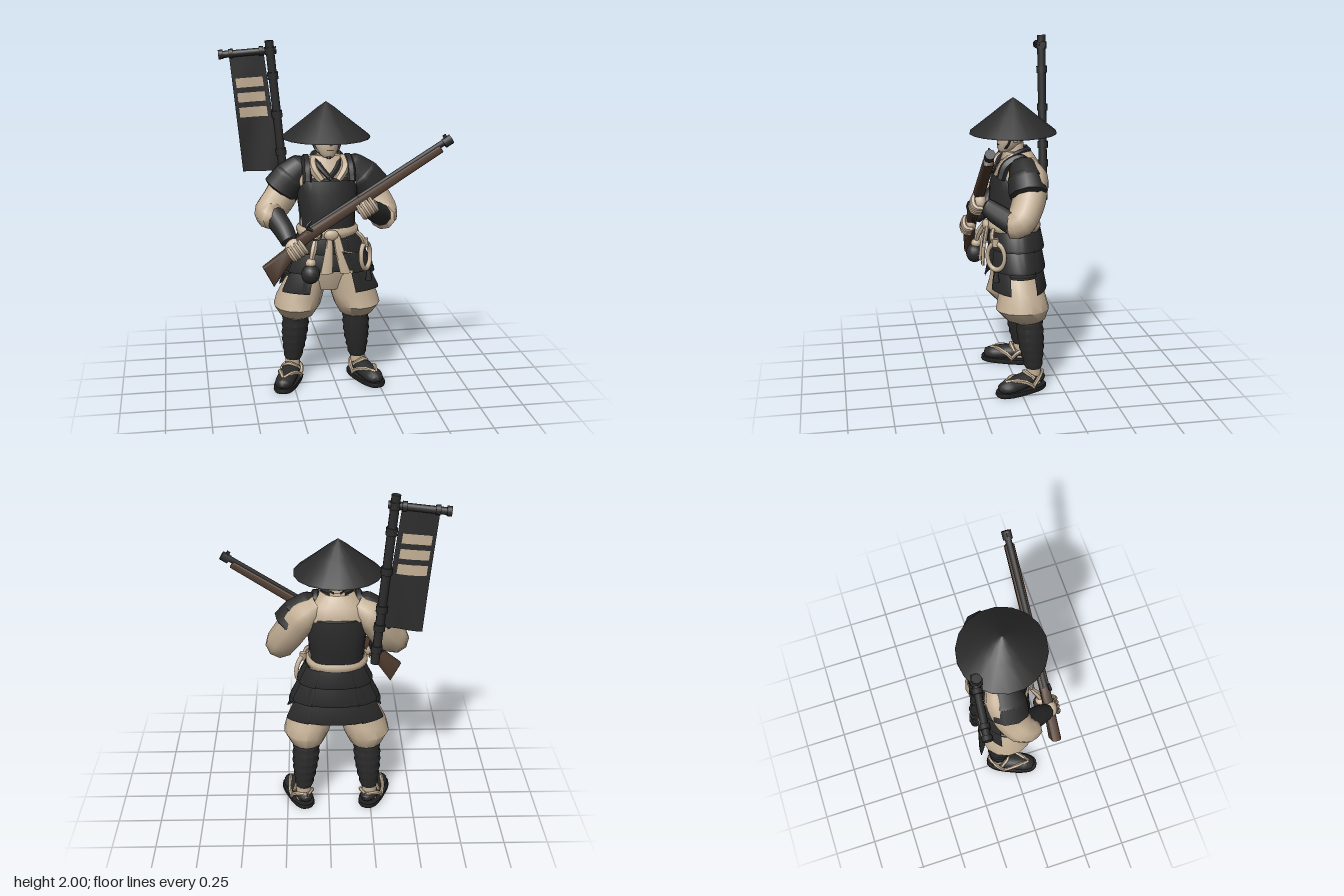
import * as THREE from 'three';
import { toCreasedNormals } from 'three/addons/utils/BufferGeometryUtils.js';

const mat = (name, color) => new THREE.MeshStandardMaterial({ name, color, side: THREE.DoubleSide });
const V = (a) => new THREE.Vector3(a[0], a[1], a[2]);
const CX = -0.045; // body centre line

// Skin over horizontal rings [x, y, z, rx, rz]; an arc below a full turn gives an open plate
function loft(rings, n = 16, pow = 1, a0 = 0, a1 = Math.PI * 2) {
  const pos = [], idx = [], full = a1 - a0 > 6.28;
  const bend = (v) => Math.sign(v) * Math.abs(v) ** pow;
  for (const [x, y, z, rx, rz] of rings)
    for (let i = 0; i <= n; i++) {
      const a = a0 + (a1 - a0) * i / n;
      pos.push(x + rx * bend(Math.sin(a)), y, z + rz * bend(Math.cos(a)));
    }
  const w = n + 1;
  for (let j = 0; j < rings.length - 1; j++)
    for (let i = 0; i < n; i++) {
      const a = j * w + i;
      idx.push(a, a + 1, a + w, a + 1, a + w + 1, a + w);
    }
  if (full) for (const j of [0, rings.length - 1]) {
    const c = pos.length / 3;
    pos.push(...rings[j].slice(0, 3));
    for (let i = 0; i < n; i++) idx.push(c, j * w + i + (j ? 0 : 1), j * w + i + (j ? 1 : 0));
  }
  const g = new THREE.BufferGeometry();
  g.setAttribute('position', new THREE.Float32BufferAttribute(pos, 3));
  g.setIndex(idx);
  return toCreasedNormals(g, 0.7);
}

// Tube of varying radius through points [x, y, z, r]
function sweep(pts, segs = 16, n = 10, flatY = 1) {
  const curve = new THREE.CatmullRomCurve3(pts.map(V));
  const g = new THREE.TubeGeometry(curve, segs, 1, n), p = g.attributes.position, v = new THREE.Vector3();
  for (let j = 0; j <= segs; j++) {
    const c = curve.getPointAt(j / segs);
    const t = curve.getUtoTmapping(j / segs) * (pts.length - 1), k = Math.min(Math.floor(t), pts.length - 2);
    const r = THREE.MathUtils.lerp(pts[k][3], pts[k + 1][3], t - k);
    for (let i = 0; i <= n; i++) {
      const q = j * (n + 1) + i;
      v.fromBufferAttribute(p, q).sub(c).multiplyScalar(r);
      v.y *= flatY;
      v.add(c);
      p.setXYZ(q, v.x, v.y, v.z);
    }
  }
  return toCreasedNormals(g, 0.9);
}

function extrude(pts, depth, bevel) {
  const g = new THREE.ExtrudeGeometry(new THREE.Shape(pts.map((p) => new THREE.Vector2(...p))),
    { depth, bevelEnabled: true, bevelSize: bevel, bevelThickness: bevel * 1.5, bevelOffset: -bevel * 0.6, bevelSegments: 2 });
  return toCreasedNormals(g.translate(0, 0, -depth / 2), 0.8);
}

export function createModel() {
  const root = new THREE.Group();
  const black = mat('blackLacquer', 0x2b2b2b), tan = mat('tanCloth', 0xc2ae94);
  const skin = mat('skin', 0xc9b59d), wood = mat('wood', 0x4c382b), sole = mat('soleBlack', 0x222222);
  const add = (name, geo, m, parent = root) => {
    const mesh = new THREE.Mesh(geo, m);
    mesh.name = name;
    parent.add(mesh);
    return mesh;
  };
  const group = (name) => { const g = new THREE.Group(); g.name = name; root.add(g); return g; };
  const ball = (name, p, s, m, parent) => {
    const b = add(name, new THREE.SphereGeometry(1, 14, 10), m, parent);
    b.position.set(...p); b.scale.set(...s);
    return b;
  };

  // Conical hat
  const hat = [[0.248, 1.478], [0.247, 1.488], [0.12, 1.588], [0.05, 1.645], [0, 1.68]].map((p) => new THREE.Vector2(...p));
  add('hat', new THREE.LatheGeometry(hat, 18), black).position.x = -0.05;
  add('hatUnderside', new THREE.ConeGeometry(0.242, 0.15, 18, 1, true), black).position.set(-0.05, 1.553, 0);

  // Head
  add('head', loft([[-0.046, 1.375, 0.05, 0.03, 0.03], [-0.048, 1.395, 0.035, 0.052, 0.056], [-0.05, 1.44, 0.015, 0.07, 0.078],
    [-0.05, 1.5, 0.005, 0.075, 0.088], [-0.05, 1.57, 0, 0.06, 0.07]], 16), skin);
  add('nose', sweep([[-0.042, 1.5, 0.085, 0.008], [-0.036, 1.462, 0.102, 0.015], [-0.038, 1.445, 0.09, 0.004]], 6, 6), skin);
  add('mouth', new THREE.BoxGeometry(0.035, 0.005, 0.008), wood).position.set(-0.04, 1.418, 0.088);
  add('hair', loft([[-0.05, 1.44, -0.03, 0.06, 0.045], [-0.05, 1.5, -0.02, 0.078, 0.075], [-0.05, 1.59, -0.01, 0.06, 0.065]], 14), wood);
  for (const s of [-1, 1]) {
    ball('ear', [-0.05 + s * 0.077, 1.46, 0], [0.01, 0.028, 0.018], skin);
    add('chinStrap', sweep([[-0.05 + s * 0.08, 1.5, 0.02, 0.006], [-0.05 + s * 0.066, 1.42, 0.04, 0.007], [-0.046, 1.376, 0.078, 0.01]], 10, 6), black);
  }
  add('neck', new THREE.CylinderGeometry(0.05, 0.06, 0.13, 12), skin).position.set(-0.05, 1.36, -0.01);

  // Robe, breastplate and collar
  add('robe', loft([[CX, 0.9, 0, 0.16, 0.13], [CX, 1.1, -0.01, 0.16, 0.13], [CX, 1.25, -0.03, 0.19, 0.13],
    [CX, 1.32, -0.035, 0.165, 0.105], [CX, 1.38, -0.025, 0.085, 0.075]], 20, 0.85), tan);
  add('breastplate', loft([[CX, 0.96, 0, 0.156, 0.14], [CX, 1.06, -0.01, 0.16, 0.15], [CX, 1.18, -0.02, 0.175, 0.153],
    [CX, 1.25, -0.025, 0.166, 0.142], [CX, 1.262, -0.025, 0.155, 0.125]], 22, 0.8), black);
  for (const s of [-1, 1]) {
    add('shoulderStrap', sweep([[CX + s * 0.125, 1.24, 0.095, 0.026], [CX + s * 0.122, 1.32, 0.06, 0.028],
      [CX + s * 0.12, 1.355, -0.02, 0.028], [CX + s * 0.125, 1.325, -0.07, 0.02]], 16, 6), black);
    add('collar', sweep([[CX + s * 0.03, 1.385, -0.085, 0.018], [CX + s * 0.074, 1.375, -0.02, 0.02],
      [CX + s * 0.052, 1.325, 0.068, 0.017], [CX - s * 0.01, 1.255, 0.112, 0.013]], 14, 6), black);
    add('innerCollar', sweep([[CX + s * 0.082, 1.365, 0.01, 0.025], [CX + s * 0.088, 1.315, 0.075, 0.026], [CX + s * 0.045, 1.25, 0.102, 0.022]], 10, 6), tan);
  }

  // Arms: sleeve, shoulder plates, bracer and hand
  const hands = { '-1': [-0.255, 0.905, 0.225], 1: [0.135, 1.13, 0.225] };
  for (const s of [-1, 1]) {
    const arm = group(s > 0 ? 'leftArm' : 'rightArm'), h = hands[s], x = (d) => CX + s * d;
    const lift = s > 0 ? -0.01 : 0.015, spread = s > 0 ? 0 : 0.012;
    add('sleeve', sweep([[x(0.1), 1.315, -0.06, 0.06], [x(0.19), 1.25, -0.065, 0.097], [x(0.27), 1.13, -0.035, 0.094],
      [x(0.32 + spread), 1.045 + lift, 0.025, 0.088], [x(0.3 + spread), 1.03 + lift, 0.08, 0.072], [x(0.295), 1.035 + lift, 0.09, 0.03]], 18, 9), tan, arm);
    const fore = [x(0.31), 1.035 + lift, 0.05];
    add('bracer', sweep([[...fore, 0.064], [(fore[0] + h[0]) / 2, (fore[1] + h[1]) / 2, 0.14, 0.058],
      [h[0] + s * 0.03, h[1] - s * 0.02 + 0.005, 0.195, 0.046], [h[0] + s * 0.025, h[1] - s * 0.015, 0.205, 0.01]], 12, 10), black, arm);
    // overlapping shoulder plates
    for (const k of [0, 1]) add('shoulderPlate', sweep([[x(0.1 + k * 0.07), 1.35 - k * 0.06, -0.03, 0.02], [x(0.13 + k * 0.07), 1.32 - k * 0.06, -0.03, 0.075 + k * 0.025],
      [x(0.21 + k * 0.052), 1.245 - k * 0.065, -0.035, 0.105 + k * 0.004], [x(0.215 + k * 0.055), 1.235 - k * 0.066, -0.035, 0.08]], 12, 9), black, arm);
    ball('palm', h, [0.06, 0.055, 0.04], skin, arm);
    for (let i = 0; i < 4; i++) {
      const o = (i - 1.5) * 0.025, c = Math.cos(0.57), d = Math.sin(0.57);
      const at = (along, up, z, r) => [h[0] + along * c - up * d, h[1] + along * d + up * c, z, r];
      add('finger', sweep([at(o, -0.052, 0.215, 0.014), at(o, -0.042, 0.255, 0.0165), at(o, 0.0, 0.266, 0.0165), at(o, 0.037, 0.252, 0.01)], 8, 6), skin, arm);
    }
    add('thumb', sweep([[h[0], h[1] + 0.02, 0.21, 0.018], [h[0] - s * 0.03, h[1] + 0.052, 0.225, 0.014], [h[0] - s * 0.05, h[1] + 0.06, 0.235, 0.006]], 8, 6), skin, arm);
  }

  // Sash with knot and hanging tails
  add('sash', loft([[CX, 0.92, 0, 0.165, 0.14], [CX, 0.94, 0, 0.178, 0.154], [CX, 0.96, 0, 0.178, 0.154], [CX, 0.98, 0, 0.162, 0.143]], 22, 0.9), tan);
  ball('sashKnot', [CX, 0.95, 0.16], [0.042, 0.032, 0.022], tan);
  for (const [bx, by, w] of [[-0.078, 0.735, 0.034], [0.03, 0.735, 0.03], [0.07, 0.85, 0.02]])
    add('sashTail', loft([[bx, by, 0.192, w, 0.008], [(bx + CX) / 2, 0.86, 0.178, w * 0.7, 0.012], [CX + (bx - CX) * 0.3, 0.95, 0.158, 0.014, 0.012]], 8), tan);

  // Tiered skirt plates: [centre angle, half width, bottom height, outward shift], in degrees
  const skirt = group('armourSkirt'), tiers = [0.935, 0.83, 0.715, 0.6], deg = Math.PI / 180;
  const skirtPanels = [[0, 26, 0.73, 0], [45, 20, 0.6, 0.008], [-45, 20, 0.6, 0.008], [90, 28, 0.69, 0], [-90, 28, 0.69, 0],
    [132, 18, 0.6, 0.008], [-132, 18, 0.6, 0.008], [164, 17, 0.6, 0], [-164, 17, 0.6, 0]];
  for (const [mid, half, low, out] of skirtPanels) {
    const rings = [];
    const ring = (y, e) => {
      const t = (0.935 - y) / 0.335;
      rings.unshift([CX + 0.01, y, -0.01, 0.17 + t * 0.12 + e + out, 0.143 + t * 0.012 + e + out]);
    };
    for (let i = 0; i < 3; i++) {
      const bottom = Math.max(tiers[i + 1], low);
      if (tiers[i] - bottom < 0.015) break;
      ring(tiers[i], 0); ring(bottom + 0.015, 0.015); ring(bottom, 0.011);
    }
    add('skirtPlate', loft(rings, 8, 1, (mid - half) * deg, (mid + half) * deg), black, skirt);
  }
  add('hips', loft([[CX, 0.6, -0.015, 0.13, 0.09], [CX, 0.7, -0.01, 0.18, 0.12], [CX, 0.93, 0, 0.155, 0.13]], 18), tan);

  // Legs: baggy trousers, wrapped shins and sandals
  for (const s of [-1, 1]) {
    const leg = group(s > 0 ? 'leftLeg' : 'rightLeg'), x = (d) => CX + s * d;
    add('trouser', loft([[x(0.175), 0.408, -0.05, 0.068, 0.075], [x(0.175), 0.43, -0.04, 0.098, 0.115], [x(0.177), 0.495, -0.02, 0.135, 0.155],
      [x(0.16), 0.555, -0.02, 0.136, 0.14], [x(0.13), 0.64, -0.012, 0.122, 0.122], [x(0.09), 0.76, -0.01, 0.085, 0.105]], 14, 1), tan, leg);
    const wraps = [];
    for (let i = 0; i <= 12; i++) {
      const t = i / 12, r = 0.048 + 0.03 * Math.sin(Math.min(t * 1.3, 1) * 1.57) + (i % 2 ? 0.004 : -0.002);
      wraps.push([x(0.195 - t * 0.018), 0.13 + t * 0.3, -0.083 + t * 0.025, r, r]);
    }
    add('shinWrap', loft(wraps, 12), black, leg);
    add('ankle', new THREE.CylinderGeometry(0.041, 0.048, 0.11, 12), tan, leg).position.set(x(0.198), 0.095, -0.083);

    const foot = new THREE.Group();
    foot.name = 'foot';
    foot.position.set(s > 0 ? 0.187 : -0.277, 0, -0.003);
    foot.rotation.y = s * 0.4;
    leg.add(foot);
    add('sandalSole', loft([[0, 0, 0, 0.064, 0.157], [0, 0.012, 0, 0.07, 0.164], [0, 0.03, 0, 0.068, 0.161]], 22, 0.75), sole, foot);
    add('sock', sweep([[0, 0.045, -0.148, 0.012], [0, 0.06, -0.13, 0.044], [0, 0.068, -0.06, 0.054], [0, 0.056, 0.02, 0.057],
      [0, 0.046, 0.09, 0.056], [0, 0.04, 0.136, 0.036], [0, 0.036, 0.148, 0.004]], 20, 12, 0.8), black, foot);
    for (const k of [-1, 1]) {
      add('sandalStrap', sweep([[0, 0.078, 0.105, 0.011], [k * 0.036, 0.088, 0.045, 0.012], [k * 0.06, 0.062, -0.02, 0.012], [k * 0.062, 0.035, -0.05, 0.011]], 12, 6), tan, foot);
      add('ankleStrap', sweep([[k * 0.062, 0.035, -0.04, 0.011], [k * 0.056, 0.08, -0.085, 0.012], [0, 0.095, -0.15, 0.011]], 10, 6), tan, foot);
    }
    add('instepStrap', sweep([[-0.052, 0.08, -0.06, 0.011], [0, 0.117, -0.025, 0.013], [0.052, 0.08, -0.06, 0.011]], 10, 6), tan, foot);
  }

  // Rope coil on the left hip, flask on the right
  const coil = group('ropeCoil');
  coil.position.set(0.155, 0.815, 0.135);
  coil.rotation.set(-0.08, 0.9, 0.1);
  add('ropeRing', new THREE.TorusGeometry(0.052, 0.011, 8, 20), tan, coil).scale.set(1.05, 1.45, 1.3);
  add('ropeTie', new THREE.CylinderGeometry(0.02, 0.02, 0.045, 8), tan, coil).position.set(0, 0.08, 0);
  add('ropeTassel', new THREE.CylinderGeometry(0.012, 0.02, 0.06, 8), black, coil).position.set(0.005, -0.115, 0.01);
  add('ropeHanger', sweep([[0.1, 0.96, 0.14, 0.012], [0.13, 0.93, 0.155, 0.014], [0.145, 0.88, 0.145, 0.012]], 8, 6), tan);
  ball('flask', [-0.17, 0.745, 0.21], [0.053, 0.056, 0.05], black);
  ball('flaskNeck', [-0.168, 0.805, 0.2], [0.03, 0.028, 0.03], tan);
  add('flaskCord', sweep([[-0.165, 0.82, 0.2, 0.014], [-0.15, 0.88, 0.185, 0.02], [-0.13, 0.95, 0.15, 0.012]], 8, 6), tan);

  // Matchlock rifle, modelled along x and then tilted
  const rifle = group('rifle');
  rifle.position.set(-0.07, 1.05, 0.222);
  rifle.rotation.set(0, -0.025, 0.563);
  add('stock', extrude([[-0.44, -0.018], [-0.45, -0.138], [-0.3, -0.075], [-0.18, -0.035], [-0.08, -0.03], [0.73, -0.018],
    [0.73, 0.018], [-0.1, 0.025], [-0.2, 0.015], [-0.3, -0.005]], 0.026, 0.01), wood, rifle);
  const along = (name, r, len, px, py, m) => {
    const c = add(name, new THREE.CylinderGeometry(r, r, len, 8).rotateZ(Math.PI / 2), m, rifle);
    c.position.set(px, py, 0);
  };
  along('barrel', 0.0185, 0.91, 0.35, 0.018, black);
  along('muzzle', 0.028, 0.05, 0.785, 0.012, black);
  add('frontSight', new THREE.BoxGeometry(0.02, 0.02, 0.01), black, rifle).position.set(0.785, 0.043, 0);
  add('lockPlate', new THREE.BoxGeometry(0.13, 0.036, 0.056), black, rifle).position.set(-0.07, 0.0, 0);
  add('hammer', sweep([[-0.1, 0.01, 0.024, 0.008], [-0.12, 0.045, 0.024, 0.01], [-0.08, 0.06, 0.02, 0.007]], 8, 6), black, rifle);
  const guard = add('triggerGuard', new THREE.TorusGeometry(0.028, 0.006, 6, 12, Math.PI), black, rifle);
  guard.rotation.z = Math.PI;
  guard.position.set(-0.1, -0.03, 0);

  // Banner: jointed pole, crossbar and cloth
  const banner = group('banner');
  const rod = (name, a, b, r) => {
    const A = V(a), B = V(b), m = add(name, new THREE.CylinderGeometry(r, r, A.distanceTo(B), 10), black, banner);
    m.position.copy(A).add(B).multiplyScalar(0.5);
    m.quaternion.setFromUnitVectors(new THREE.Vector3(0, 1, 0), B.sub(A).normalize());
  };
  const poleAt = (y) => [-0.25 - (y - 1.03) * 0.094, y, -0.222];
  rod('pole', poleAt(1.03), poleAt(1.998), 0.025);
  for (const y of [1.12, 1.25, 1.36, 1.58, 1.8, 1.94]) rod('poleJoint', poleAt(y - 0.02), poleAt(y + 0.02), 0.032);
  rod('crossbar', [-0.62, 1.918, -0.258], [-0.3, 1.945, -0.222], 0.02);
  for (const [x, y, z] of [[-0.612, 1.919, -0.257], [-0.555, 1.924, -0.251], [-0.385, 1.938, -0.232]])
    rod('crossbarKnob', [x - 0.013, y, z - 0.001], [x + 0.013, y + 0.002, z + 0.001], 0.027);
  const lerp = THREE.MathUtils.lerp;
  const cloth = (name, u0, u1, v0, v1, off, m) => {
    const g = new THREE.PlaneGeometry(1, 1, 8, 12), p = g.attributes.position;
    for (let i = 0; i < p.count; i++) {
      const u = lerp(u0, u1, p.getX(i) + 0.5), v = lerp(v0, v1, 0.5 - p.getY(i));
      p.setXYZ(i, lerp(lerp(-0.565, -0.5, v), lerp(-0.37, -0.285, v), u), lerp(1.91 + u * 0.015, 1.24 + u * 0.01, v),
        lerp(-0.252, -0.232, u) + 0.012 * Math.sin(u * 5 + v * 4) * v + off);
    }
    g.computeVertexNormals();
    add(name, g, m, banner);
  };
  cloth('bannerCloth', 0, 1, 0, 1, 0, black);
  for (const [v0, v1] of [[0.19, 0.27], [0.315, 0.395], [0.44, 0.525]])
    for (const off of [-0.005, 0.005]) cloth('bannerStripe', 0.1, 0.87, v0, v1, off, tan);
  return root;
}
